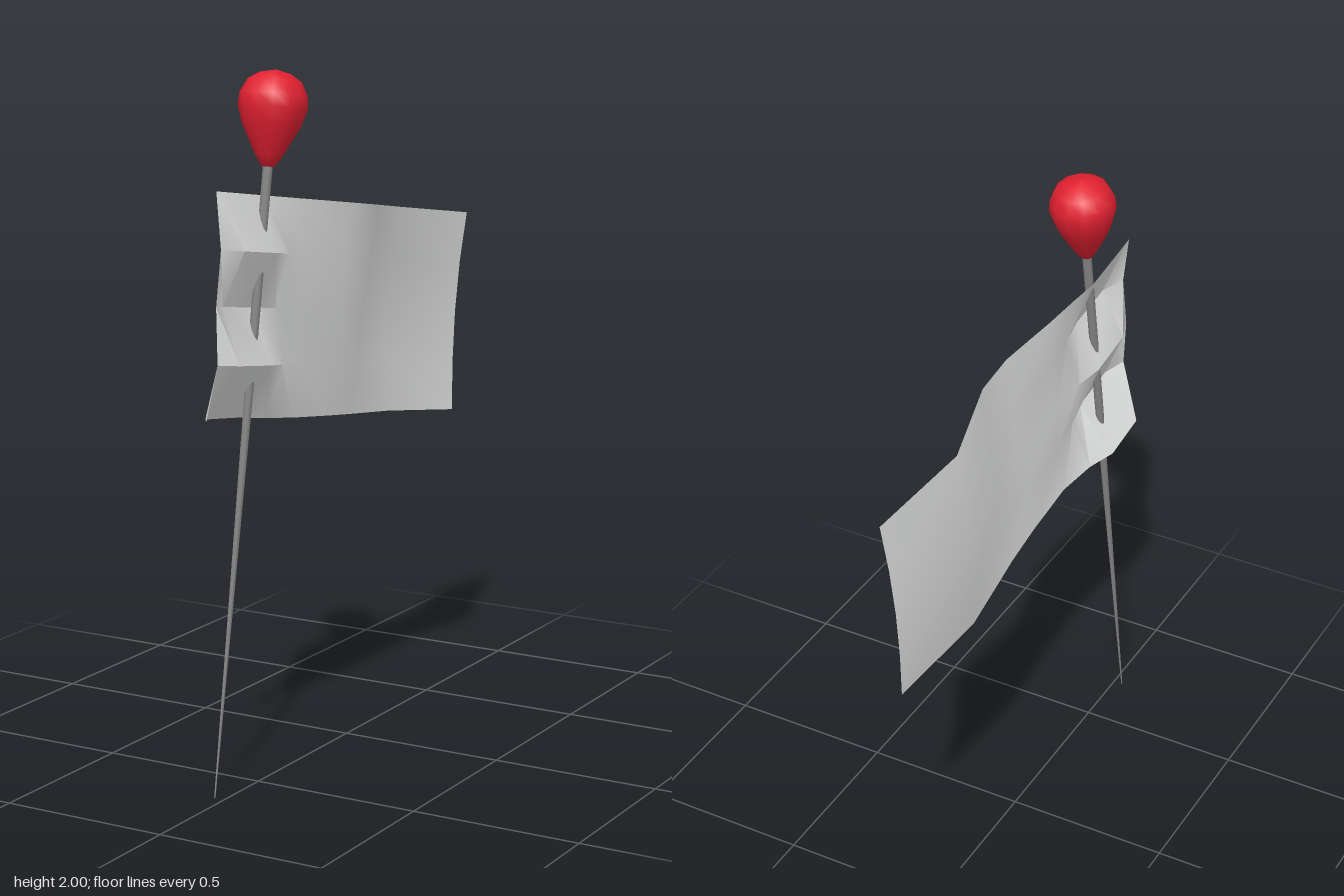
import * as THREE from 'three';
import { toCreasedNormals } from 'three/addons/utils/BufferGeometryUtils.js';

const red = new THREE.MeshStandardMaterial({ color: 0xe02030 });
red.name = 'red plastic';
const steel = new THREE.MeshStandardMaterial({ color: 0x858585 });
steel.name = 'grey steel';
const paper = new THREE.MeshStandardMaterial({ color: 0xdcdedd, side: THREE.DoubleSide });
paper.name = 'white paper';

// Sheet: sideways offset of each column at five heights, top to bottom.
// Columns run from the pinned edge (u = 0) to the free edge (u = 1).
const columns = [
  [0.00, [-0.03, -0.005, -0.01, 0.005, -0.02]],
  [0.05, [-0.03, 0.028, -0.033, 0.033, -0.068]],
  [0.17, [-0.03, 0.03, -0.035, 0.033, -0.07]],
  [0.23, [-0.015, 0.018, -0.014, 0.016, -0.035]],
  [0.32, [0.004, 0.006, -0.002, 0.002, -0.01]],
  [0.46, [0.04, 0.027, 0.015, 0.003, -0.01]],
  [0.56, [0.04, 0.025, 0.01, -0.003, -0.015]],
  [0.76, [-0.03, -0.05, -0.06, -0.056, -0.037]],
  [1.00, [0.02, 0.006, 0.0, 0.002, 0.01]],
];

function sheetGeometry() {
  const corner = (z, y) => new THREE.Vector3(0, y, z);
  const topFront = corner(0.645, 1.69), topBack = corner(-0.71, 1.485);
  const lowFront = corner(0.72, 1.075), lowBack = corner(-0.64, 0.875);
  const rows = 5, positions = [], index = [];
  columns.forEach(([u, offsets], i) => {
    const top = topFront.clone().lerp(topBack, u);
    const low = lowFront.clone().lerp(lowBack, u);
    offsets.forEach((x, j) => {
      const p = top.clone().lerp(low, j / (rows - 1));
      positions.push(x, p.y, p.z);
      if (i === 0 || j === 0) return;
      const d = i * rows + j, c = d - 1, b = d - rows, a = b - 1;
      index.push(a, b, d, a, d, c);
    });
  });
  const g = new THREE.BufferGeometry();
  g.setAttribute('position', new THREE.Float32BufferAttribute(positions, 3));
  g.setIndex(index);
  return toCreasedNormals(g, 0.55);
}

const lathe = (points, sides) =>
  new THREE.LatheGeometry(points.map(([r, y]) => new THREE.Vector2(r, y)), sides);

export function createModel() {
  const model = new THREE.Group();
  model.name = 'pinnedPaper';

  const add = (parent, name, geometry, material) => {
    const mesh = new THREE.Mesh(geometry, material);
    mesh.name = name;
    parent.add(mesh);
  };

  // Pin, built upright from its tip and then leaned
  const pin = new THREE.Group();
  pin.name = 'pin';
  const tip = new THREE.Vector3(-0.028, 0, 0.685);
  const neck = new THREE.Vector3(-0.002, 1.735, 0.428);
  const length = tip.distanceTo(neck);
  pin.position.copy(tip);
  pin.quaternion.setFromUnitVectors(new THREE.Vector3(0, 1, 0), neck.clone().sub(tip).normalize());

  add(pin, 'needle', lathe([[0, 0], [0.002, 0.003], [0.013, 1.2], [0.014, length + 0.02]], 8), steel);

  const head = lathe([[0, 0], [0.018, 0.002], [0.038, 0.033], [0.06, 0.075], [0.082, 0.118],
    [0.096, 0.165], [0.093, 0.2], [0.074, 0.237], [0.042, 0.257], [0, 0.266]], 12);
  head.translate(0, length, 0);
  add(pin, 'head', head, red);
  model.add(pin);

  // Paper threaded on the pin
  add(model, 'paperSheet', sheetGeometry(), paper);
  return model;
}
